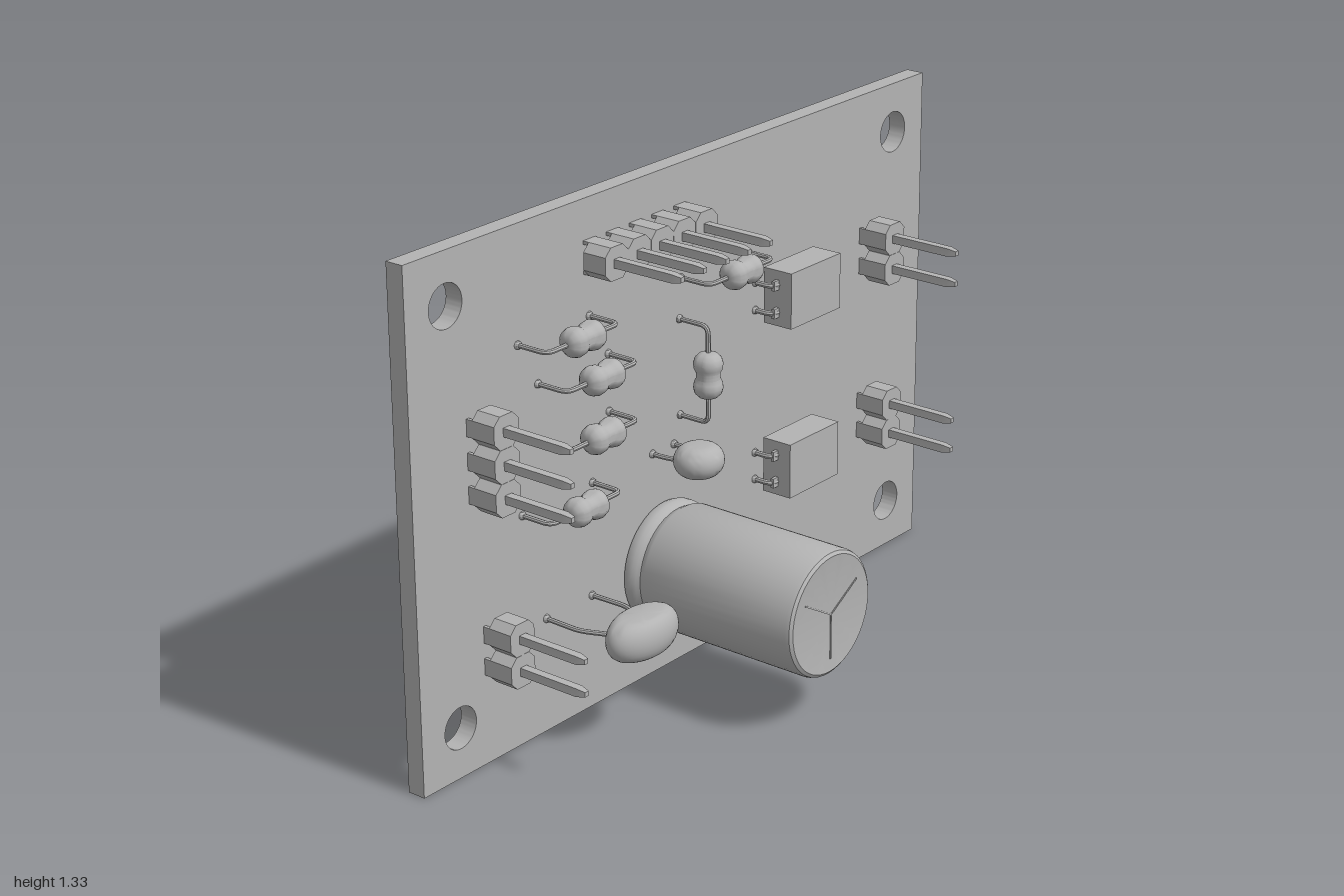
import * as THREE from 'three';
import { toCreasedNormals } from 'three/addons/utils/BufferGeometryUtils.js';

const grey = new THREE.MeshStandardMaterial({ color: 0xb3b3b3 });
grey.name = 'plain grey';

const FRONT = -0.15, BACK = -0.2; // board faces
const V = (x, y, z) => new THREE.Vector3(x, y, z);

function add(parent, name, geometry, x = 0, y = 0, z = 0) {
  const mesh = new THREE.Mesh(toCreasedNormals(geometry, 0.6), grey);
  mesh.name = name;
  mesh.position.set(x, y, z);
  parent.add(mesh);
  return mesh;
}

function group(parent, name, x, y, z = 0) {
  const g = new THREE.Group();
  g.name = name;
  g.position.set(x, y, z);
  parent.add(g);
  return g;
}

// Turned shape; pairs are [radius, height]
const lathe = (pairs, sides) => new THREE.LatheGeometry(pairs.map(p => new THREE.Vector2(...p)), sides);

// Round wire through corner points, with softened bends, closed tip and collars at the board
function lead(parent, points, r = 0.0065) {
  const path = new THREE.CurvePath();
  let from = points[0];
  for (let i = 1; i < points.length - 1; i++) {
    const p = points[i];
    const bend = 0.022;
    const a = p.clone().add(points[i - 1].clone().sub(p).setLength(bend));
    const b = p.clone().add(points[i + 1].clone().sub(p).setLength(bend));
    path.add(new THREE.LineCurve3(from, a));
    path.add(new THREE.QuadraticBezierCurve3(a, p, b));
    from = b;
  }
  const end = points[points.length - 1];
  path.add(new THREE.LineCurve3(from, end));
  add(parent, 'lead', new THREE.TubeGeometry(path, 36, r, 8));
  add(parent, 'leadTip', new THREE.SphereGeometry(r, 8, 6), end.x, end.y, end.z);
  for (const z of [FRONT, BACK]) {
    add(parent, 'leadCollar', new THREE.SphereGeometry(0.011, 10, 6), end.x, end.y, z);
  }
}

// Row of pin header cells
function header(parent, name, x, y, count, horizontal) {
  const g = group(parent, name, x, y);
  if (horizontal) g.rotation.z = Math.PI / 2;
  const pitch = 0.0845, h = 0.042, c = 0.02;
  const cell = new THREE.Shape([
    [-h + c, -h], [h - c, -h], [h, -h + c], [h, h - c],
    [h - c, h], [-h + c, h], [-h, h - c], [-h, -h + c],
  ].map(p => new THREE.Vector2(...p)));
  for (let i = 0; i < count; i++) {
    const cy = (i - (count - 1) / 2) * pitch;
    add(g, 'headerBody', new THREE.ExtrudeGeometry(cell, { depth: 0.068, bevelEnabled: false }), 0, cy, -0.132);
    for (const s of [-1, 1]) {
      add(g, 'headerFoot', new THREE.BoxGeometry(0.009, 0.044, 0.02), s * 0.0375, cy, -0.14);
    }
    const r = 0.0155;
    const pin = lathe([[0, -0.25], [0.009, -0.25], [r, -0.225], [r, 0.11], [0.009, 0.135], [0, 0.135]], 4);
    pin.rotateY(Math.PI / 4).rotateX(Math.PI / 2);
    add(g, 'headerPin', pin, 0, cy, 0);
  }
}

// Axial resistor with two swollen ends
function resistor(parent, x, y, upright) {
  const g = group(parent, 'resistor', x, y);
  if (upright) g.rotation.z = Math.PI / 2;
  const half = [[0.03, 0], [0.031, 0.008], [0.036, 0.018], [0.038, 0.032], [0.034, 0.046], [0.024, 0.056], [0.01, 0.061], [0, 0.061]];
  const profile = [...half.slice(1).reverse().map(([r, h]) => [r, -h]), ...half];
  add(g, 'resistorBody', lathe(profile, 24).rotateZ(Math.PI / 2), 0, 0, -0.058);
  for (const s of [-1, 1]) {
    lead(g, [V(s * 0.05, 0, -0.058), V(s * 0.128, 0, -0.058), V(s * 0.128, 0, -0.262)]);
  }
}

// Flat rounded capacitor lying with its thin side toward the top
function discCapacitor(parent, name, x, y, z, size, leadPoints) {
  const g = group(parent, name, x, y);
  const [a, b, c] = size; // half width, half thickness, half depth
  const round = b / a, profile = [[0, -1]];
  for (let i = 0; i <= 12; i++) {
    const t = -Math.PI / 2 + Math.PI * i / 12;
    profile.push([1 - round + round * Math.cos(t), Math.sin(t)]);
  }
  profile.push([0, 1]);
  add(g, 'capacitorBody', lathe(profile, 36).scale(a, b, c), 0, 0, z);
  for (const s of [-1, 1]) lead(g, leadPoints.map(([px, pz]) => V(s * px, 0, pz)));
}

// Tall can with rolled groove and a three-way vent mark
function canCapacitor(parent, x, y) {
  const g = group(parent, 'canCapacitor', x, y);
  const R = 0.165;
  const can = lathe([
    [0, -0.15], [0.152, -0.15], [0.161, -0.146], [R, -0.136], [R, -0.12], [0.16, -0.11], [0.155, -0.1],
    [0.16, -0.09], [R, -0.08], [R, 0.362], [0.162, 0.372], [0.154, 0.378], [0.148, 0.377], [0, 0.377],
  ], 48);
  add(g, 'canBody', can.rotateX(Math.PI / 2));
  for (let i = 0; i < 3; i++) {
    const a = -Math.PI / 2 + i * Math.PI * 2 / 3;
    const line = add(g, 'ventLine', new THREE.BoxGeometry(0.12, 0.004, 0.003), 0.06 * Math.cos(a), 0.06 * Math.sin(a), 0.3775);
    line.rotation.z = a;
  }
  for (const s of [-1, 1]) lead(g, [V(s * 0.085, 0, -0.14), V(s * 0.085, 0, -0.25)]);
}

// Four-legged chip
function chip(parent, x, y) {
  const g = group(parent, 'chip', x, y);
  add(g, 'chipBody', new THREE.BoxGeometry(0.209, 0.15, 0.088), 0, 0, -0.094);
  for (const sx of [-1, 1]) for (const sy of [-1, 1]) {
    const ly = sy * 0.0375;
    add(g, 'legShoulder', new THREE.BoxGeometry(0.022, 0.026, 0.009), sx * 0.113, ly, -0.094);
    lead(g, [V(sx * 0.1, ly, -0.094), V(sx * 0.127, ly, -0.094), V(sx * 0.127, ly, -0.25)], 0.0075);
  }
}

export function createModel() {
  const model = new THREE.Group();
  model.name = 'circuitBoard';

  // Board with four mounting holes
  const W = 1, H = 1.333;
  const outline = new THREE.Shape([[-W, 0], [W, 0], [W, H], [-W, H]].map(p => new THREE.Vector2(...p)));
  for (const x of [-0.867, 0.867]) for (const y of [0.133, 1.2]) {
    outline.holes.push(new THREE.Path().absarc(x, y, 0.055, 0, Math.PI * 2, true));
  }
  add(model, 'board', new THREE.ExtrudeGeometry(outline, { depth: FRONT - BACK, bevelEnabled: false, curveSegments: 32 }), 0, 0, BACK);

  // Pin headers
  header(model, 'topHeader', -0.201, 1.187, 5, true);
  header(model, 'rightHeader', -0.77, 0.802, 3, false);
  header(model, 'lowerRightHeader', -0.735, 0.302, 2, false);
  header(model, 'upperLeftHeader', 0.765, 0.904, 2, false);
  header(model, 'lowerLeftHeader', 0.765, 0.434, 2, false);

  // Resistors
  for (const [x, y] of [[-0.503, 1.037], [-0.436, 0.92], [-0.436, 0.77], [-0.503, 0.604], [0.099, 1.037]]) {
    resistor(model, x, y, false);
  }
  resistor(model, -0.035, 0.803, true);

  // Capacitors
  discCapacitor(model, 'smallCapacitor', -0.103, 0.604, -0.034, [0.067, 0.041, 0.063],
    [[0.03, -0.06], [0.042, -0.11], [0.042, -0.314]]);
  discCapacitor(model, 'largeCapacitor', -0.469, 0.304, 0.083, [0.115, 0.052, 0.065],
    [[0.05, 0.05], [0.088, -0.04], [0.085, -0.15], [0.085, -0.382]]);
  canCapacitor(model, -0.103, 0.301);

  // Chips
  chip(model, 0.398, 0.904);
  chip(model, 0.398, 0.435);

  return model;
}
